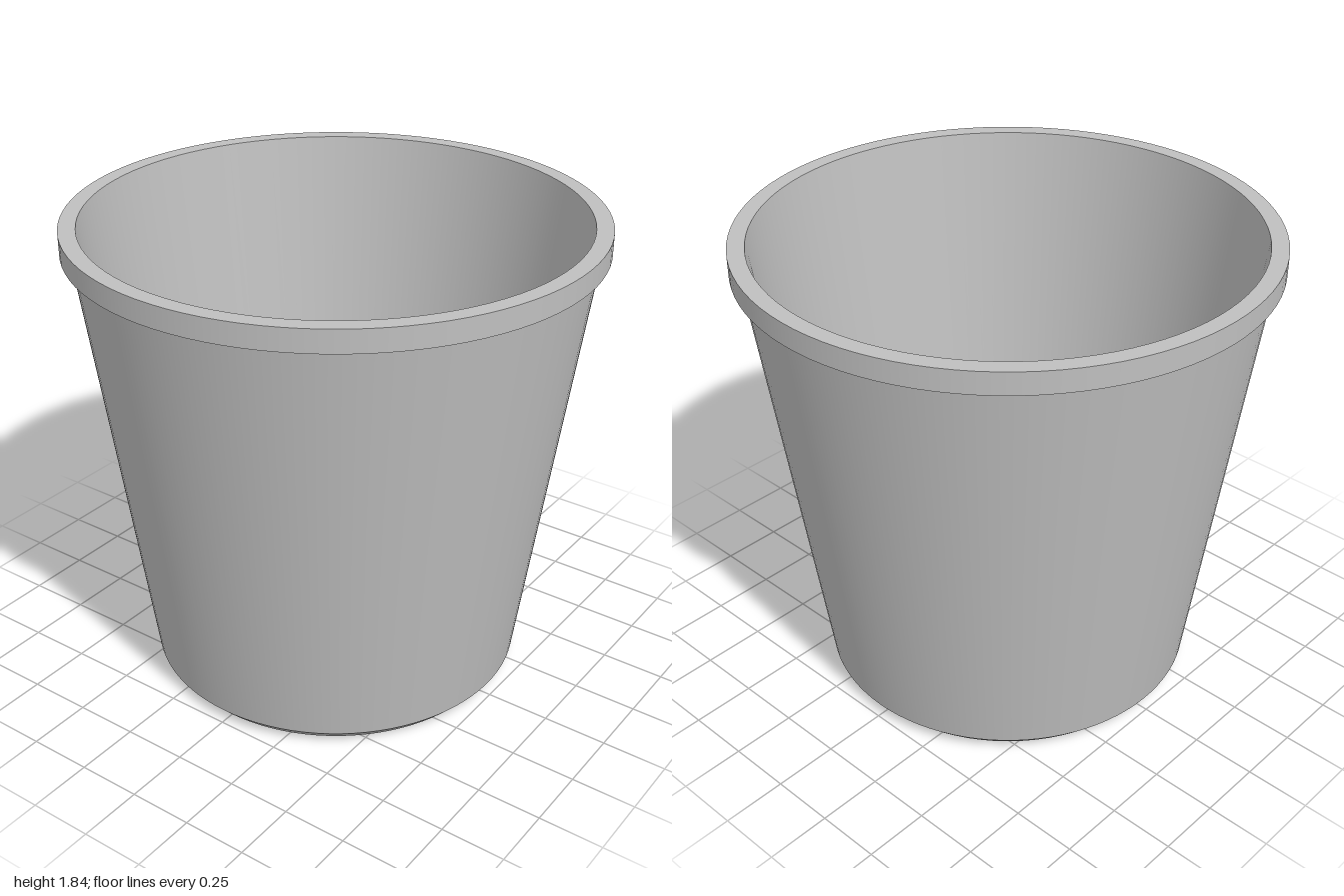
import * as THREE from 'three';
import { mergeGeometries } from 'three/addons/utils/BufferGeometryUtils.js';

// Revolve each straight run of the profile on its own, so edges stay sharp
// while the surface is smooth around the axis.
function revolve(profile) {
  const bands = [];
  for (let i = 0; i < profile.length - 1; i++) {
    const ends = [profile[i], profile[i + 1]].map(([r, y]) => new THREE.Vector2(r, y));
    bands.push(new THREE.LatheGeometry(ends, 96));
  }
  return mergeGeometries(bands);
}

export function createModel() {
  const group = new THREE.Group();
  group.name = 'pot';
  const grey = new THREE.MeshStandardMaterial({ color: 0xbfbfbf });
  grey.name = 'plain grey';

  // Profiles as [radius, height], running anticlockwise around the section
  const parts = {
    // underside, chamfered foot and tapered outer wall
    outerWall: [[0, 0], [0.69, 0], [0.734, 0.047], [0.964, 1.755]],
    // overhanging band with a flat top
    rim: [[0.964, 1.755], [1, 1.755], [1, 1.84], [0.936, 1.84]],
    // tapered inner wall down to the flat floor
    innerWall: [[0.936, 1.84], [0.706, 0.125], [0, 0.125]],
  };
  for (const [name, profile] of Object.entries(parts)) {
    const mesh = new THREE.Mesh(revolve(profile), grey);
    mesh.name = name;
    group.add(mesh);
  }
  return group;
}
